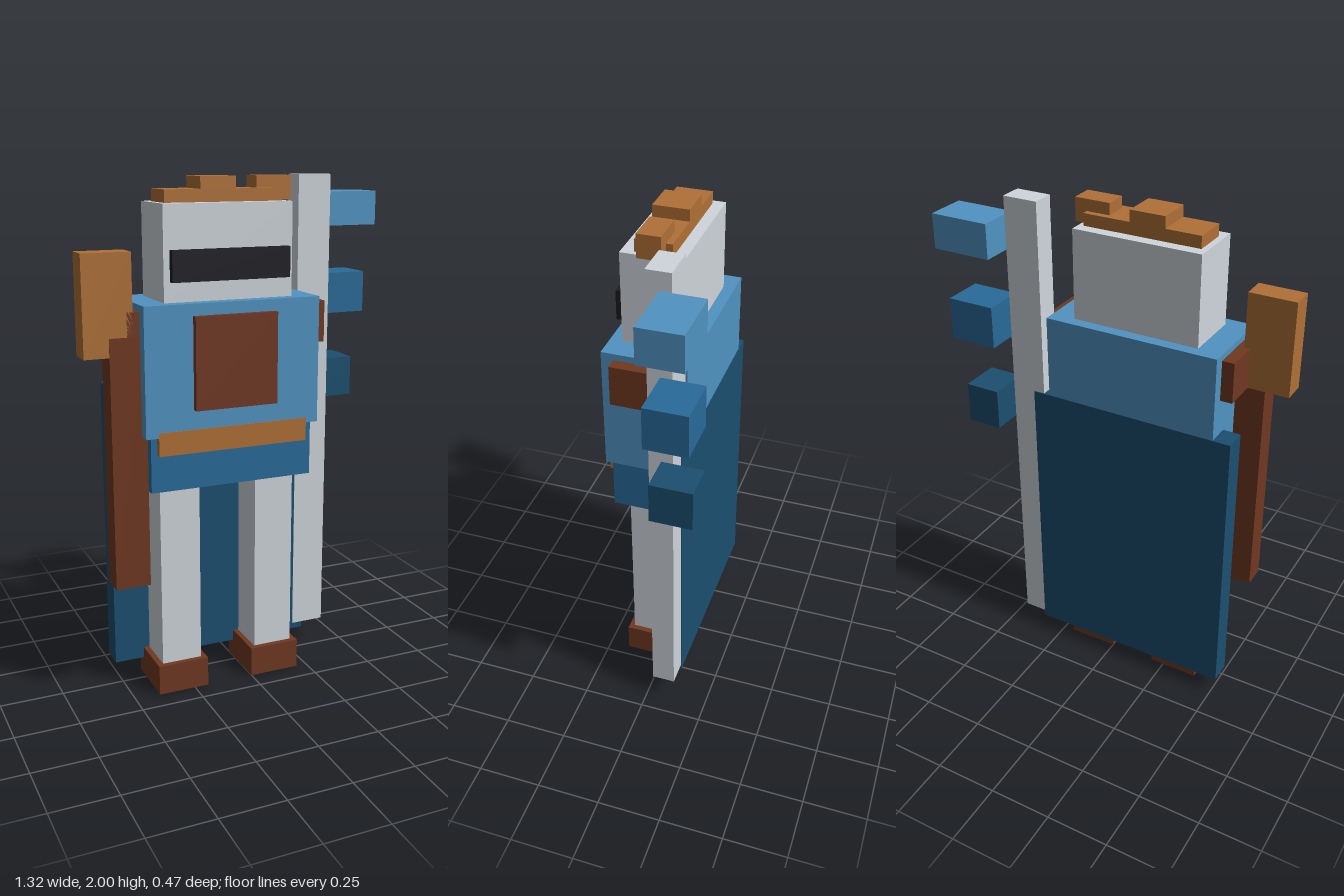
import * as THREE from 'three';

const COLORS = {
  steel: 0xcfd6dc, sky: 0x5094c2, blue: 0x286a99, navy: 0x1c4f70,
  brown: 0x703821, gold: 0xb07036, black: 0x1a1a20,
};
const materials = {};
for (const key in COLORS) materials[key] = new THREE.MeshStandardMaterial({ color: COLORS[key], flatShading: true });

export function createModel() {
  const model = new THREE.Group();
  model.name = 'blockKnight';

  // Box given by its [min, max] range on each axis
  const block = (name, color, x, y, z, parent = model) => {
    const mesh = new THREE.Mesh(
      new THREE.BoxGeometry(x[1] - x[0], y[1] - y[0], z[1] - z[0]), materials[color]);
    mesh.position.set((x[0] + x[1]) / 2, (y[0] + y[1]) / 2, (z[0] + z[1]) / 2);
    mesh.name = name;
    parent.add(mesh);
  };
  const group = (name) => {
    const g = new THREE.Group();
    g.name = name;
    model.add(g);
    return g;
  };

  // Legs and feet, mirrored about the body's own centre line
  const bodyX = -0.097;
  for (const [side, s] of [['left', 1], ['right', -1]]) {
    const span = (a, b) => [bodyX + s * a, bodyX + s * b].sort((p, q) => p - q);
    block(side + 'Leg', 'steel', span(0.118, 0.28), [0.12, 0.85], [-0.02, 0.143]);
    block(side + 'Foot', 'brown', span(0.096, 0.303), [0, 0.12], [-0.07, 0.165]);
    block(side + 'Shoulder', 'brown', span(0.352, 0.4), [1.37, 1.53], [-0.07, 0.163]);
  }

  // Torso
  block('hips', 'blue', [-0.425, 0.235], [0.85, 1.065], [-0.09, 0.19]);
  block('torso', 'sky', [-0.449, 0.255], [1.065, 1.555], [-0.116, 0.21]);
  block('chestPlate', 'brown', [-0.26, 0.07], [1.16, 1.51], [0.21, 0.235]);
  block('belt', 'gold', [-0.4, 0.205], [0.995, 1.085], [0.18, 0.213]);
  block('cape', 'navy', [-0.52, 0.325], [0.075, 1.225], [-0.118, -0.026]);

  // Head with visor and stepped crown
  const head = group('head');
  block('helmet', 'steel', [-0.354, 0.16], [1.555, 1.908], [-0.07, 0.163], head);
  block('visor', 'black', [-0.33, 0.14], [1.63, 1.745], [0.163, 0.19], head);
  block('crownBand', 'gold', [-0.33, 0.14], [1.908, 1.955], [-0.025, 0.115], head);
  block('crownMiddle', 'gold', [-0.19, -0.05], [1.955, 2], [-0.025, 0.115], head);
  block('crownSide', 'gold', [0.045, 0.188], [1.91, 2], [0, 0.09], head);

  // Hammer on the right side
  const hammer = group('hammer');
  block('hammerHandle', 'brown', [-0.565, -0.428], [0.475, 1.44], [0.07, 0.165], hammer);
  block('hammerHead', 'gold', [-0.66, -0.474], [1.37, 1.745], [0.068, 0.163], hammer);

  // Banner pole on the left side, its pennants shrinking downward
  const banner = group('banner');
  block('pole', 'steel', [0.28, 0.42], [0.1, 2], [-0.116, -0.024], banner);
  for (const [name, color, end, y0, y1] of [
    ['upperPennant', 'sky', 0.657, 1.795, 1.93],
    ['middlePennant', 'blue', 0.61, 1.44, 1.605],
    ['lowerPennant', 'navy', 0.56, 1.088, 1.25],
  ]) block(name, color, [0.42, end], [y0, y1], [-0.235, -0.072], banner);

  return model;
}
